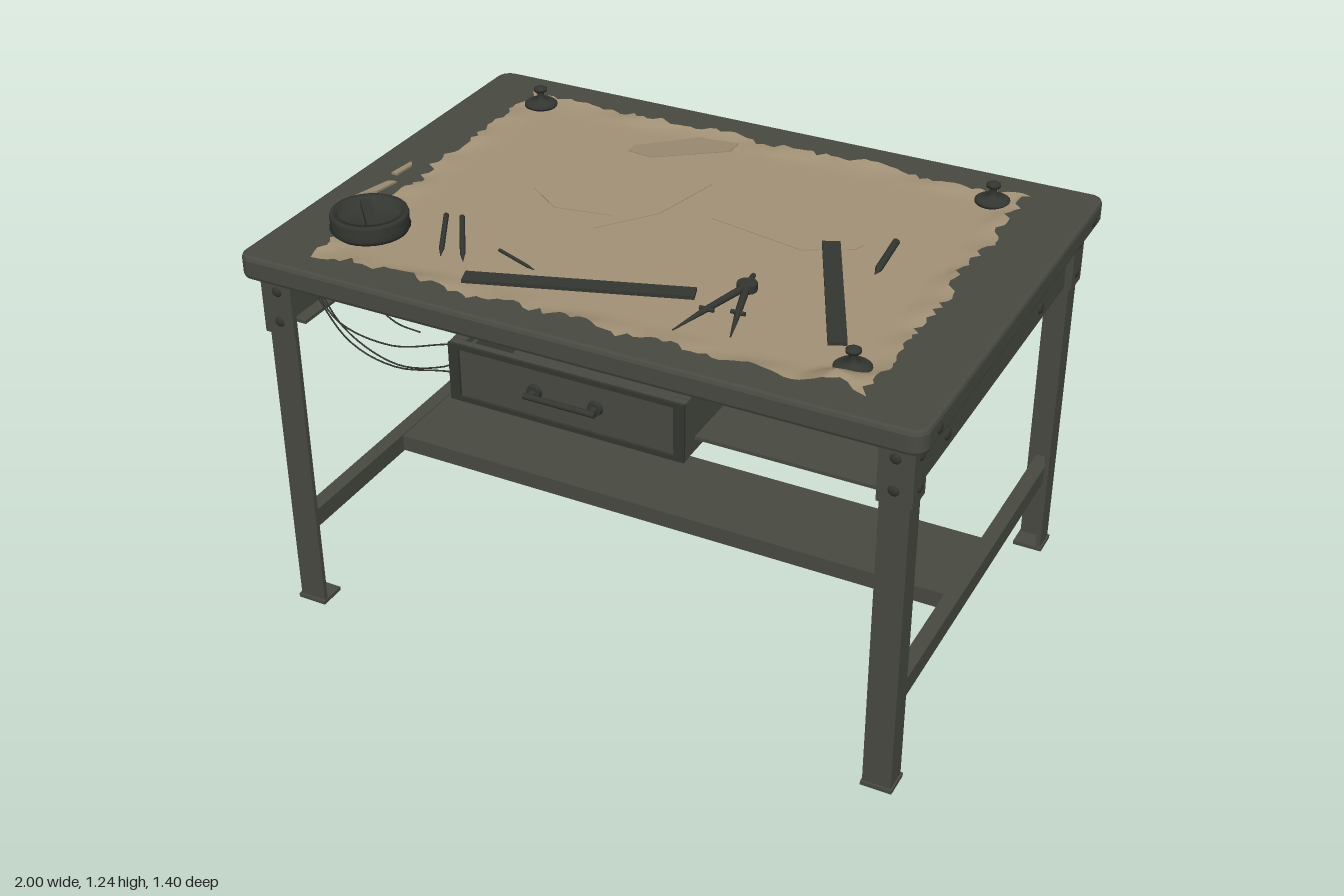
import * as THREE from 'three';

export function createModel() {
  const root = new THREE.Group();
  root.name = 'draftingTable';
  const mat = (name, color, extra = {}) => {
    const m = new THREE.MeshStandardMaterial({ color, ...extra });
    m.name = name;
    return m;
  };
  const metal = mat('greenGreyMetal', 0x484a42);
  const dark = mat('darkMetal', 0x343631);
  const paperMat = mat('agedPaper', 0xa39277, { side: THREE.DoubleSide });
  const flapMat = mat('creasedPaper', 0x998970, { side: THREE.DoubleSide });

  const add = (name, geo, m, x = 0, y = 0, z = 0, parent = root) => {
    const mesh = new THREE.Mesh(geo, m);
    mesh.name = name;
    mesh.position.set(x, y, z);
    parent.add(mesh);
    return mesh;
  };
  // Box given by its limits on each axis
  const box = (name, x0, x1, y0, y1, z0, z1, m = metal, parent = root) =>
    add(name, new THREE.BoxGeometry(x1 - x0, y1 - y0, z1 - z0), m,
      (x0 + x1) / 2, (y0 + y1) / 2, (z0 + z1) / 2, parent);
  // Domed bolt head facing along the given axis
  const bolt = (x, y, z, axis, dir, r = 0.018, parent = root) => {
    const g = new THREE.SphereGeometry(r, 12, 6, 0, Math.PI * 2, 0, Math.PI / 2);
    g.scale(1, 0.5, 1);
    if (axis === 'x') g.rotateZ(-dir * Math.PI / 2);
    else g.rotateX(dir * Math.PI / 2);
    add('bolt', g, dark, x, y, z, parent);
  };
  // Rod between two points
  const rod = (name, a, b, r0, r1, m = dark, sides = 8, parent = root) => {
    const p = new THREE.Vector3(...a), q = new THREE.Vector3(...b);
    const d = q.clone().sub(p);
    const mesh = add(name, new THREE.CylinderGeometry(r1, r0, d.length(), sides), m, 0, 0, 0, parent);
    mesh.position.copy(p).addScaledVector(d, 0.5);
    mesh.quaternion.setFromUnitVectors(new THREE.Vector3(0, 1, 0), d.normalize());
    return mesh;
  };

  // Table top: rounded rectangle with softened edges
  const W = 0.98, D = 0.69, R = 0.03;
  const s = new THREE.Shape();
  s.absarc(W - R, D - R, R, 0, Math.PI / 2);
  s.absarc(-W + R, D - R, R, Math.PI / 2, Math.PI);
  s.absarc(-W + R, -D + R, R, Math.PI, Math.PI * 1.5);
  s.absarc(W - R, -D + R, R, Math.PI * 1.5, Math.PI * 2);
  const topGeo = new THREE.ExtrudeGeometry(s, {
    depth: 0.046, bevelSize: 0.012, bevelThickness: 0.012, bevelSegments: 2, curveSegments: 5,
  });
  topGeo.rotateX(-Math.PI / 2);
  add('tableTop', topGeo, metal, 0, 1.114, 0);

  // Angle-iron legs with corner brackets, bolts and foot plates
  for (const sx of [1, -1]) for (const sz of [1, -1]) {
    const leg = new THREE.Group();
    leg.name = 'leg';
    root.add(leg);
    const part = (name, x0, x1, y0, y1, z0, z1, m = metal) => box(name,
      Math.min(sx * x0, sx * x1), Math.max(sx * x0, sx * x1), y0, y1,
      Math.min(sz * z0, sz * z1), Math.max(sz * z0, sz * z1), m, leg);
    part('sideFlange', 0.933, 0.947, 0, 1.102, 0.575, 0.645);
    part('endFlange', 0.865, 0.947, 0, 1.102, 0.631, 0.645);
    part('sideBracket', 0.947, 0.956, 0.92, 1.1, 0.57, 0.654);
    part('endBracket', 0.86, 0.956, 0.92, 1.1, 0.645, 0.654);
    part('footPlate', 0.862, 0.952, 0, 0.012, 0.57, 0.652);
    for (const y of [0.962, 1.055]) {
      bolt(sx * 0.955, y, sz * 0.61, 'x', sx, 0.016, leg);
      bolt(sx * 0.905, y, sz * 0.653, 'z', sz, 0.016, leg);
    }
    bolt(sx * 0.99, 1.137, sz * 0.6, 'x', sx, 0.017, leg);
  }

  // Side aprons and side stretchers
  for (const sx of [1, -1]) {
    const at = (a, b) => [Math.min(sx * a, sx * b), Math.max(sx * a, sx * b)];
    box('sideApron', ...at(0.918, 0.932), 0.92, 1.096, -0.632, 0.632);
    for (const y of [0.92, 1.086]) box('apronFlange', ...at(0.88, 0.92), y, y + 0.01, -0.575, 0.575);
    for (const z of [0.36, -0.36]) bolt(sx * 0.931, 0.965, z, 'x', sx, 0.019);
    box('sideStretcher', ...at(0.89, 0.934), 0.247, 0.305, -0.632, 0.632);
  }
  // Long foot rest: shallow channel joining the side stretchers
  box('footRest', -0.89, 0.89, 0.29, 0.302, -0.15, 0.15);
  for (const z of [-0.15, 0.138]) box('footRestLip', -0.89, 0.89, 0.25, 0.291, z, z + 0.012);

  // Shelf under the top beside the drawer
  box('shelf', 0.335, 0.92, 0.912, 0.922, -0.58, 0.6);
  box('shelfBackLip', 0.335, 0.92, 0.905, 0.925, -0.585, -0.575);

  // Drawer housing and drawer
  for (const x of [-0.352, 0.328]) {
    box('drawerRail', x, x + 0.014, 0.885, 1.05, -0.58, 0.635);
    box('drawerRailLip', x < 0 ? x : x - 0.026, x < 0 ? x + 0.04 : x + 0.014, 1.04, 1.05, -0.58, 0.635);
  }
  box('housingFloor', -0.35, 0.34, 0.876, 0.886, -0.58, 0.635);
  const drawer = new THREE.Group();
  drawer.name = 'drawer';
  root.add(drawer);
  box('drawerFront', -0.352, 0.342, 0.876, 1.048, 0.635, 0.655, metal, drawer);
  for (const x of [-0.352, 0.312]) box('frontEdge', x, x + 0.03, 0.876, 1.048, 0.655, 0.663, dark, drawer);
  for (const y of [0.876, 1.034]) box('frontRim', -0.322, 0.312, y, y + 0.014, 0.655, 0.663, dark, drawer);
  for (const x of [-0.322, 0.302]) box('drawerSide', x, x + 0.01, 0.892, 1.02, -0.46, 0.635, metal, drawer);
  box('drawerBack', -0.322, 0.312, 0.892, 1.02, -0.47, -0.46, metal, drawer);
  rod('handleBar', [-0.11, 0.965, 0.688], [0.1, 0.965, 0.688], 0.009, 0.009, dark, 10, drawer);
  for (const x of [-0.095, 0.085]) {
    rod('handlePost', [x, 0.965, 0.65], [x, 0.965, 0.69], 0.012, 0.01, dark, 10, drawer);
    rod('handleBase', [x, 0.965, 0.652], [x, 0.965, 0.668], 0.022, 0.02, dark, 12, drawer);
  }

  // Loose wires hanging beside the drawer
  const wires = [
    [[-0.87, 1.09, 0.56], [-0.78, 0.96, 0.57], [-0.6, 0.93, 0.58], [-0.42, 0.98, 0.58], [-0.35, 1.0, 0.58]],
    [[-0.87, 1.08, 0.55], [-0.76, 0.93, 0.56], [-0.6, 0.86, 0.56], [-0.45, 0.89, 0.56], [-0.35, 0.95, 0.56]],
    [[-0.87, 1.07, 0.57], [-0.74, 0.9, 0.57], [-0.6, 0.85, 0.56], [-0.46, 0.84, 0.5], [-0.34, 0.79, 0.42]],
    [[-0.88, 1.06, 0.37], [-0.85, 0.98, 0.365], [-0.79, 0.9, 0.365], [-0.72, 0.86, 0.37], [-0.64, 0.85, 0.37]],
  ];
  for (const w of wires) {
    const curve = new THREE.CatmullRomCurve3(w.map((p) => new THREE.Vector3(...p)));
    add('wire', new THREE.TubeGeometry(curve, 24, 0.0025, 5), dark);
  }

  // Paper sheet: torn border and curled, rippled edges
  let seed = 7;
  const rnd = () => (seed = (seed * 16807) % 2147483647) / 2147483647;
  const NX = 80, NZ = 60;
  const pg = new THREE.PlaneGeometry(1.6, 1.18, NX, NZ);
  pg.rotateX(-Math.PI / 2);
  const pos = pg.attributes.position;
  for (let i = 0; i < pos.count; i++) {
    const x = pos.getX(i), z = pos.getZ(i);
    const edge = Math.min(0.8 - Math.abs(x), 0.59 - Math.abs(z));
    const k = Math.max(0, 1 - edge / 0.07);
    const wave = 0.5 + 0.5 * Math.sin(x * 19 + z * 23) * Math.cos(x * 7 - z * 11);
    const corner = Math.max(0, 1 - Math.hypot(x - 0.72, z - 0.57) / 0.09);
    const jag = edge < 0.001 ? (rnd() - 0.5) * 0.03 : 0;
    const onX = 0.8 - Math.abs(x) < 0.001, onZ = 0.59 - Math.abs(z) < 0.001;
    pos.setXYZ(i, x + (onX ? jag : 0) + 0.008 * k * Math.sin(z * 17),
      1.1765 + 0.016 * k * wave + 0.04 * corner,
      z + (onZ ? jag : 0) + 0.025 + 0.008 * k * Math.sin(x * 13));
  }
  pg.computeVertexNormals();
  add('paperSheet', pg, paperMat);

  // Thin flat outlines given as x, z pairs
  const flat = (name, pts, y, m, h = 0.002) => {
    const sh = new THREE.Shape(pts.map(([x, z]) => new THREE.Vector2(x, -z)));
    const g = new THREE.ExtrudeGeometry(sh, { depth: h, bevelEnabled: false });
    g.rotateX(-Math.PI / 2);
    return add(name, g, m, 0, y, 0);
  };
  flat('paperFlap', [[-0.35, -0.38], [-0.2, -0.52], [-0.08, -0.53], [-0.08, -0.47], [-0.27, -0.33], [-0.35, -0.34]], 1.177, flapMat);
  flat('paperTear', [[0.06, -0.06], [0.5, -0.1], [0.49, -0.07], [0.36, 0.0]], 1.177, paperMat);
  flat('paperTear', [[-0.47, 0.0], [-0.13, -0.07], [-0.03, -0.25], [-0.08, -0.02], [-0.2, 0.14], [-0.19, 0.05], [-0.36, 0.08]], 1.177, paperMat);
  flat('paperScrap', [[-0.9, 0.27], [-0.87, 0.15], [-0.845, 0.14], [-0.86, 0.22]], 1.173, flapMat, 0.006);
  flat('paperScrap', [[-0.89, 0.1], [-0.88, 0.01], [-0.865, 0.03], [-0.87, 0.1]], 1.173, flapMat, 0.006);

  // Rulers
  for (const [x0, z0, x1, z1] of [[-0.365, 0.55, 0.22, 0.355], [0.42, -0.065, 0.65, 0.425]]) {
    const r = add('ruler', new THREE.BoxGeometry(Math.hypot(x1 - x0, z1 - z0), 0.01, 0.05), dark,
      (x0 + x1) / 2, 1.185, (z0 + z1) / 2);
    r.rotation.y = -Math.atan2(z1 - z0, x1 - x0);
  }

  // Pens and pencils with pointed ends
  const pens = [[-0.595, 0.27, -0.48, 0.48, 0.008], [-0.55, 0.26, -0.41, 0.48, 0.008],
    [-0.36, 0.375, -0.22, 0.43, 0.005], [0.578, -0.14, 0.597, 0.055, 0.011]];
  for (const [x0, z0, x1, z1, r] of pens) {
    const mx = x0 + (x1 - x0) * 0.8, mz = z0 + (z1 - z0) * 0.8, y = 1.178 + r;
    rod('penBody', [x0, y, z0], [mx, y, mz], r, r);
    rod('penTip', [mx, y, mz], [x1, y, z1], r, 0.001);
  }

  // Drawing dividers
  rod('dividerHinge', [0.325, 1.178, 0.265], [0.325, 1.2, 0.265], 0.028, 0.028, dark, 12);
  rod('dividerGrip', [0.325, 1.19, 0.265], [0.315, 1.19, 0.205], 0.009, 0.007);
  for (const [x, z] of [[0.25, 0.545], [0.395, 0.51]]) {
    const mx = 0.325 + (x - 0.325) * 0.55, mz = 0.265 + (z - 0.265) * 0.55;
    rod('dividerLeg', [0.325, 1.19, 0.265], [mx, 1.188, mz], 0.011, 0.009);
    rod('dividerPoint', [mx, 1.188, mz], [x, 1.182, z], 0.009, 0.002);
    rod('dividerScrew', [mx - 0.02, 1.188, mz], [mx + 0.02, 1.188, mz], 0.006, 0.006);
  }

  // Knobbed paper weights
  const v = (x, y) => new THREE.Vector2(x, y);
  const weight = [v(0, 0), v(0.05, 0), v(0.05, 0.008), v(0.042, 0.014), v(0.012, 0.018), v(0.009, 0.044),
    v(0.02, 0.048), v(0.02, 0.056), v(0.012, 0.061), v(0, 0.062)];
  for (const [x, z] of [[-0.745, -0.51], [0.72, -0.51], [0.725, 0.505]])
    add('paperWeight', new THREE.LatheGeometry(weight, 20), dark, x, 1.177, z);

  // Round dish with a bar across it
  const dish = [v(0, 0), v(0.105, 0), v(0.112, 0.012), v(0.108, 0.024), v(0.11, 0.046), v(0.106, 0.056),
    v(0.09, 0.056), v(0.084, 0.03), v(0, 0.026)];
  add('roundDish', new THREE.LatheGeometry(dish, 28), dark, -0.745, 1.178, 0.42);
  const bar = add('dishBar', new THREE.BoxGeometry(0.18, 0.022, 0.03), dark, -0.745, 1.215, 0.42);
  bar.rotation.y = -0.85;

  return root;
}
